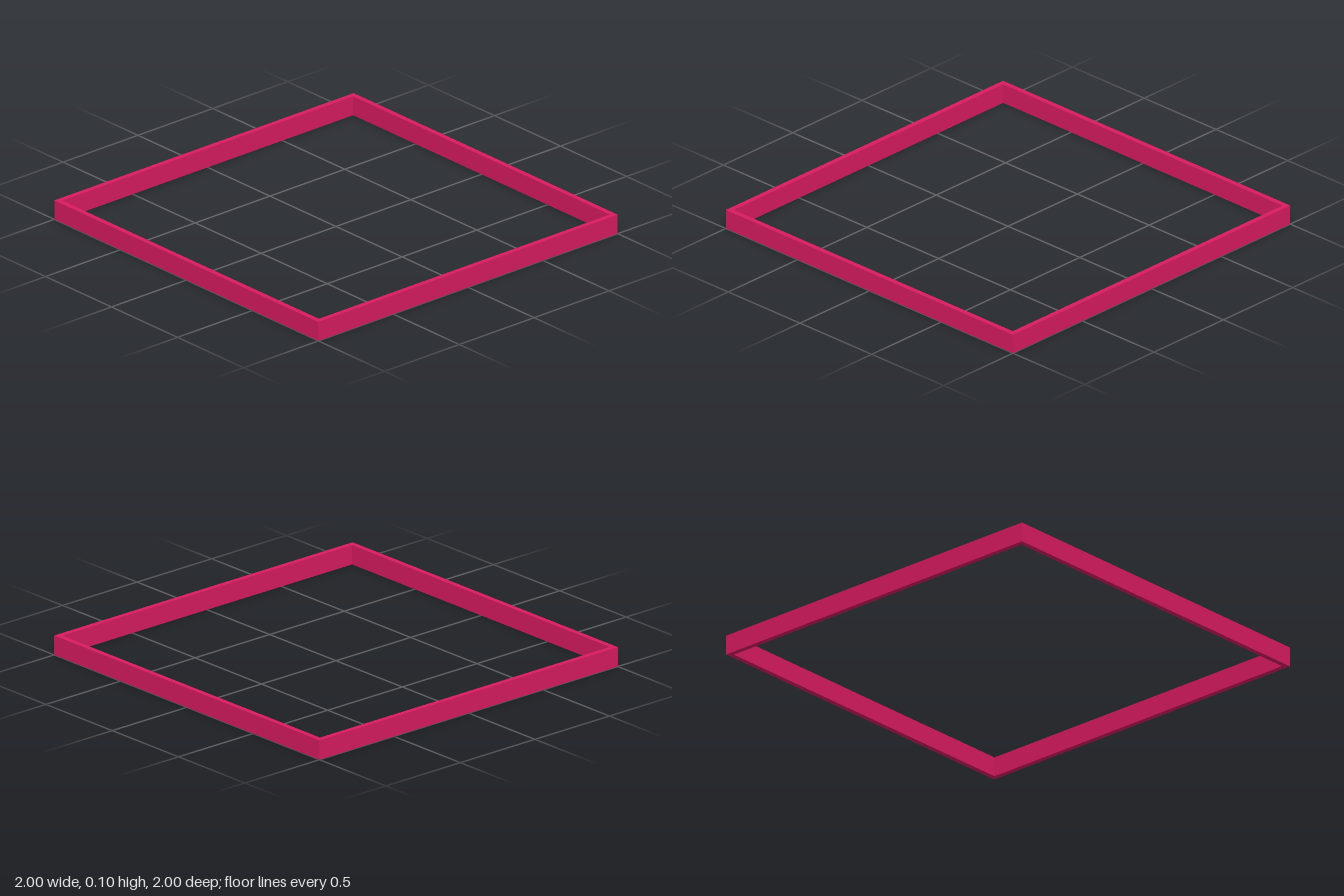
import * as THREE from 'three';

const HALF = 1;       // half of the outer side
const WALL = 0.028;   // wall thickness
const HEIGHT = 0.104;

// Square outline traced onto a Shape or Path
function square(path, h) {
  path.moveTo(-h, -h);
  path.lineTo(h, -h);
  path.lineTo(h, h);
  path.lineTo(-h, h);
  path.closePath();
  return path;
}

export function createModel() {
  const group = new THREE.Group();
  group.name = 'squareFrame';

  // Square ring extruded upward
  const outline = square(new THREE.Shape(), HALF);
  outline.holes.push(square(new THREE.Path(), HALF - WALL));
  const geometry = new THREE.ExtrudeGeometry(outline, { depth: HEIGHT, bevelEnabled: false });
  geometry.rotateX(-Math.PI / 2);

  const frame = new THREE.Mesh(geometry, new THREE.MeshStandardMaterial({ color: 0xd81b60 }));
  frame.name = 'frame';
  group.add(frame);
  return group;
}
